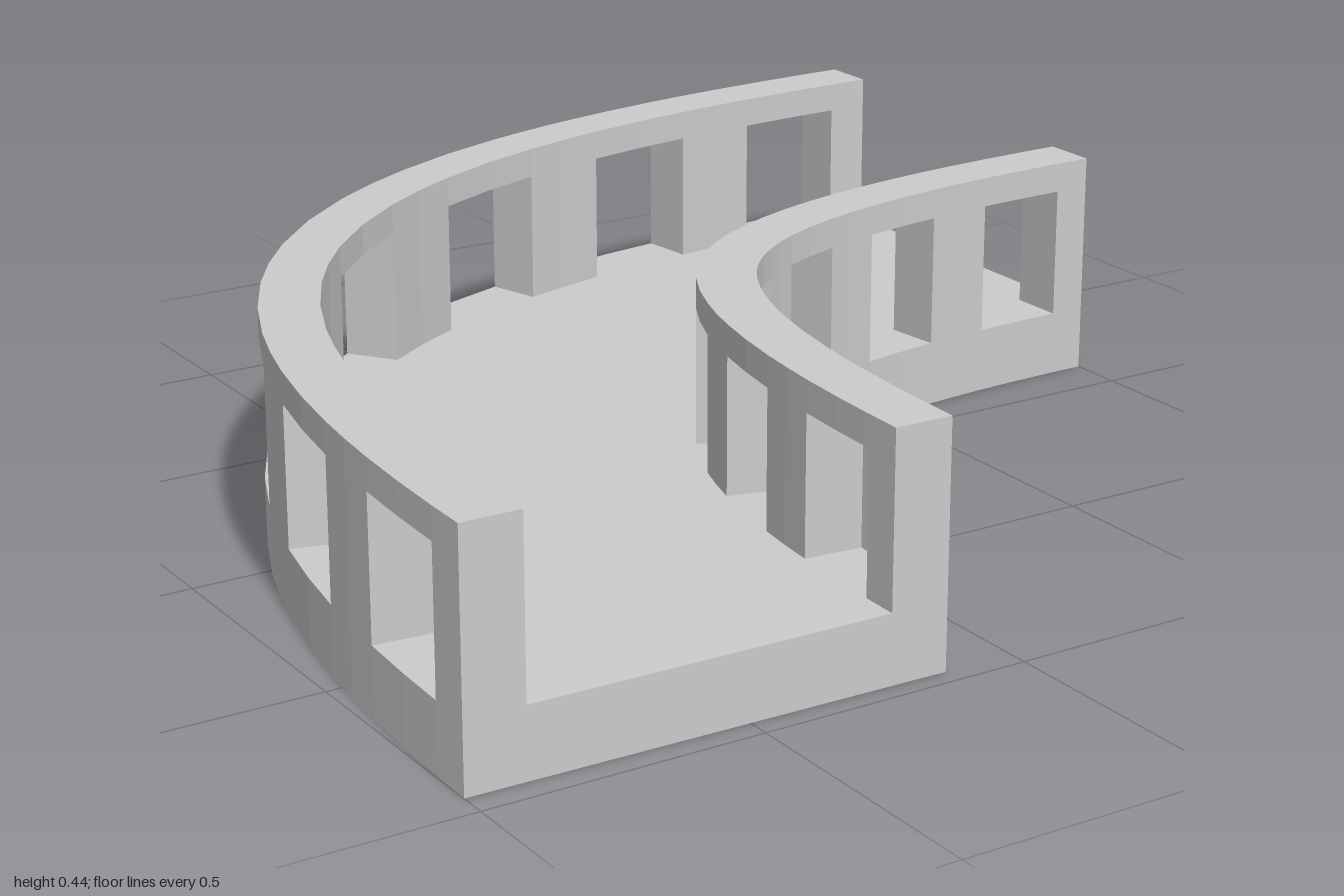
import * as THREE from 'three';

const HALF = 0.435, WALL = 0.107;               // half width of the bend, wall thickness
const SILL = 0.125, HEAD = 0.378, TOP = 0.435;  // floor level, window head, wall top
const MODULES = 7, OPEN = 0.214, CLOSE = 0.786; // window limits within each module

export function createModel() {
  const group = new THREE.Group();
  const stone = new THREE.MeshStandardMaterial({ color: 0xcccccc });
  stone.name = 'pale grey';

  // Centre line of the bend, from the right end round to the front end
  const path = new THREE.CubicBezierCurve3(
    new THREE.Vector3(1, 0, -0.54),
    new THREE.Vector3(-0.2, 0, -0.54),
    new THREE.Vector3(-0.547, 0, -0.123),
    new THREE.Vector3(-0.565, 0, 0.957)
  );
  path.arcLengthDivisions = 800;

  // Point on the bend: u in modules, offset towards the outside, height y
  const at = (u, offset, y) => {
    const t = Math.min(u / MODULES, 1);
    const p = path.getPointAt(t), d = path.getTangentAt(t);
    return [p.x - d.z * offset, y, p.z + d.x * offset];
  };

  // Rectangular bar swept through the given stations, flat faced
  const addBar = (name, stations, o0, o1, y0, y1) => {
    const rings = stations.map(u => [at(u, o0, y0), at(u, o1, y0), at(u, o1, y1), at(u, o0, y1)]);
    const pos = [];
    const quad = (a, b, c, d) => pos.push(...a, ...b, ...c, ...a, ...c, ...d);
    for (let i = 0; i < rings.length - 1; i++) {
      for (let k = 0; k < 4; k++) {
        const n = (k + 1) % 4;
        quad(rings[i][n], rings[i][k], rings[i + 1][k], rings[i + 1][n]);
      }
    }
    const last = rings[rings.length - 1];
    quad(...rings[0]);
    quad(last[3], last[2], last[1], last[0]);
    const geo = new THREE.BufferGeometry();
    geo.setAttribute('position', new THREE.Float32BufferAttribute(pos, 3));
    geo.computeVertexNormals();
    const mesh = new THREE.Mesh(geo, stone);
    mesh.name = name;
    group.add(mesh);
  };

  const stations = [];
  for (let m = 0; m < MODULES; m++) stations.push(m, m + OPEN, m + 0.5, m + CLOSE);
  stations.push(MODULES);

  // Floor slab
  addBar('floor', stations, -HALF, HALF, 0, SILL);

  // Two walls: pillars between the openings and a continuous rail above
  for (const [side, o0, o1] of [['inner', -HALF, -HALF + WALL], ['outer', HALF - WALL, HALF]]) {
    addBar(side + 'Rail', stations, o0, o1, HEAD, TOP);
    for (let m = 0; m <= MODULES; m++) {
      const span = [];
      if (m > 0) span.push(m - 1 + CLOSE);
      span.push(m);
      if (m < MODULES) span.push(m + OPEN);
      addBar(side + 'Pillar', span, o0, o1, SILL, HEAD);
    }
  }
  return group;
}
